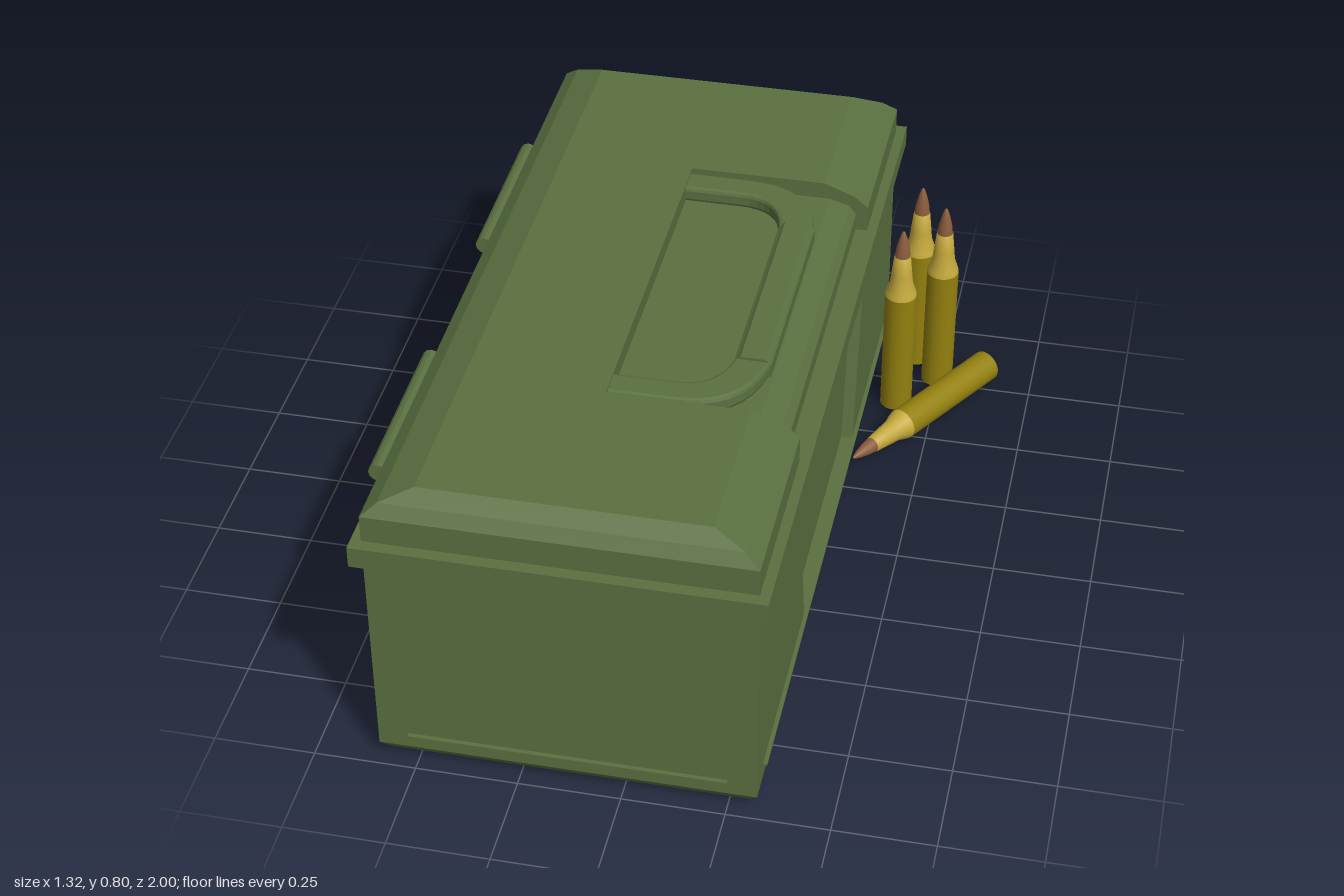
import * as THREE from 'three';

export function createModel() {
  const root = new THREE.Group();
  const mat = (color, flatShading = true) => new THREE.MeshStandardMaterial({ color, flatShading });
  const green = mat(0x5a7040);
  const caseGold = mat(0x93800f, false), neckGold = mat(0xc4a83c, false), copper = mat(0x8a5c3c, false);

  function add(name, geo, material = green, parent = root) {
    const mesh = new THREE.Mesh(geo, material);
    mesh.name = name;
    parent.add(mesh);
    return mesh;
  }

  // Stack of rectangles, each level [y, x0, x1, z0, z1], closed at both ends
  function loft(levels) {
    const pos = [], idx = [];
    for (const [y, x0, x1, z0, z1] of levels) pos.push(x0, y, z1, x1, y, z1, x1, y, z0, x0, y, z0);
    for (let l = 0; l < levels.length - 1; l++) {
      for (let i = 0; i < 4; i++) {
        const a = l * 4 + i, b = l * 4 + (i + 1) % 4;
        idx.push(a, b, b + 4, a, b + 4, a + 4);
      }
    }
    const t = (levels.length - 1) * 4;
    idx.push(0, 2, 1, 0, 3, 2, t, t + 1, t + 2, t, t + 2, t + 3);
    const geo = new THREE.BufferGeometry();
    geo.setAttribute('position', new THREE.Float32BufferAttribute(pos, 3));
    geo.setIndex(idx);
    const flat = geo.toNonIndexed();
    flat.computeVertexNormals();
    return flat;
  }

  function box(name, x0, x1, y0, y1, z0, z1) {
    const m = add(name, new THREE.BoxGeometry(x1 - x0, y1 - y0, z1 - z0));
    m.position.set((x0 + x1) / 2, (y0 + y1) / 2, (z0 + z1) / 2);
    return m;
  }
  const polygon = pts => new THREE.Shape(pts.map(p => new THREE.Vector2(...p)));

  // Body: chamfered foot, inner box, and a side frame leaving a recessed trapezoid
  const L = -0.595, R = 0.32, Z = 0.97;
  add('bodyFoot', loft([
    [0, L + 0.05, R - 0.05, -Z + 0.045, Z - 0.045],
    [0.012, L + 0.025, R - 0.025, -Z + 0.02, Z - 0.02],
    [0.04, L, R, -Z, Z],
  ]));
  box('body', L, 0.29, 0.04, 0.62, -Z, Z);
  const frame = polygon([[-Z, 0.04], [Z, 0.04], [Z, 0.62], [0.485, 0.62], [0.36, 0.08],
    [-0.36, 0.08], [-0.485, 0.62], [-Z, 0.62]]);
  const frameGeo = new THREE.ExtrudeGeometry(frame, { depth: R - 0.29, bevelEnabled: false });
  add('sidePanelFrame', frameGeo.rotateY(Math.PI / 2).translate(0.29, 0, 0));

  // Thin ribs near the foot
  for (const s of [-1, 1]) {
    box('endRib', -0.52, 0.25, 0.077, 0.083, s * 0.975 - 0.006, s * 0.975 + 0.006);
    const x = s > 0 ? 0.324 : -0.599;
    box('sideRib', x - 0.006, x + 0.006, 0.077, 0.083, -0.9, 0.9);
  }

  // Rim: lower and upper flange
  box('bodyRim', -0.62, 0.345, 0.61, 0.6375, -1, 1);
  box('lidRim', -0.62, 0.345, 0.6375, 0.665, -1, 1);

  // Lid: two full ends with a notched middle between them
  const N = 0.485;
  for (const s of [-1, 1]) {
    const level = (y, inX, zEnd) => s > 0
      ? [y, L + inX, R - inX, N, zEnd] : [y, L + inX, R - inX, -zEnd, -N];
    add('lidEnd', loft([level(0.66, 0, Z), level(0.735, 0, Z),
      level(0.765, 0.037, 0.948), level(0.795, 0.115, 0.912)]));
  }
  const notch = polygon([[L, 0.66], [0.29, 0.66], [0.29, 0.712], [0.272, 0.735], [0.22, 0.75],
    [-0.14, 0.75], [-0.14, 0.795], [L + 0.115, 0.795], [L + 0.037, 0.765], [L, 0.735]]);
  add('lidMiddle', new THREE.ExtrudeGeometry(notch, { depth: 2 * N, bevelEnabled: false })
    .translate(0, 0, -N));

  // Carrying handle, a U lying in the recess, with a raised grip
  const u = new THREE.Shape();
  u.moveTo(-0.14, -0.465);
  u.lineTo(0.0, -0.465);
  u.bezierCurveTo(0.12, -0.465, 0.18, -0.42, 0.205, -0.28);
  u.lineTo(0.205, 0.28);
  u.bezierCurveTo(0.18, 0.42, 0.12, 0.465, 0.0, 0.465);
  u.lineTo(-0.14, 0.465);
  u.lineTo(-0.14, 0.41);
  u.lineTo(0.0, 0.41);
  u.bezierCurveTo(0.08, 0.41, 0.12, 0.37, 0.135, 0.28);
  u.lineTo(0.135, -0.28);
  u.bezierCurveTo(0.12, -0.37, 0.08, -0.41, 0.0, -0.41);
  u.lineTo(-0.14, -0.41);
  const handleGeo = new THREE.ExtrudeGeometry(u, {
    depth: 0.022, bevelSize: 0.01, bevelThickness: 0.01, bevelSegments: 2, curveSegments: 8,
  });
  add('handle', handleGeo.rotateX(Math.PI / 2).translate(0, 0.78, 0));
  const grip = polygon([[0.125, 0.75], [0.215, 0.75], [0.215, 0.783], [0.2, 0.797],
    [0.14, 0.797], [0.125, 0.783]]);
  add('handleGrip', new THREE.ExtrudeGeometry(grip, { depth: 0.58, bevelEnabled: false })
    .translate(0, 0, -0.29));

  // Hinge barrels
  for (const s of [-1, 1]) {
    const hinge = add('hinge', new THREE.CylinderGeometry(0.023, 0.023, 0.46, 12));
    hinge.rotation.x = Math.PI / 2;
    hinge.position.set(-0.637, 0.645, s * 0.475);
  }

  // Cartridges: case, bottleneck and bullet
  const lathe = pts => new THREE.LatheGeometry(pts.map(p => new THREE.Vector2(...p)), 20);
  const caseGeo = new THREE.CylinderGeometry(0.043, 0.043, 0.36, 20).translate(0, 0.18, 0);
  const neckGeo = lathe([[0.043, 0.36], [0.041, 0.37], [0.031, 0.4], [0.028, 0.43], [0.022, 0.485], [0, 0.485]]);
  const tipGeo = lathe([[0.021, 0.485], [0.018, 0.51], [0.011, 0.54], [0.004, 0.56], [0, 0.563]]);
  function cartridge(x, y, z) {
    const g = new THREE.Group();
    g.name = 'cartridge';
    add('case', caseGeo, caseGold, g);
    add('neck', neckGeo, neckGold, g);
    add('bulletTip', tipGeo, copper, g);
    g.position.set(x, y, z);
    root.add(g);
    return g;
  }
  cartridge(0.415, 0, -0.865);
  cartridge(0.49, 0, -0.78);
  cartridge(0.395, 0, -0.65);
  const lying = cartridge(0.622, 0.043, -0.803);
  lying.quaternion.setFromUnitVectors(new THREE.Vector3(0, 1, 0),
    new THREE.Vector3(-0.285, 0, 0.47).normalize());

  return root;
}
